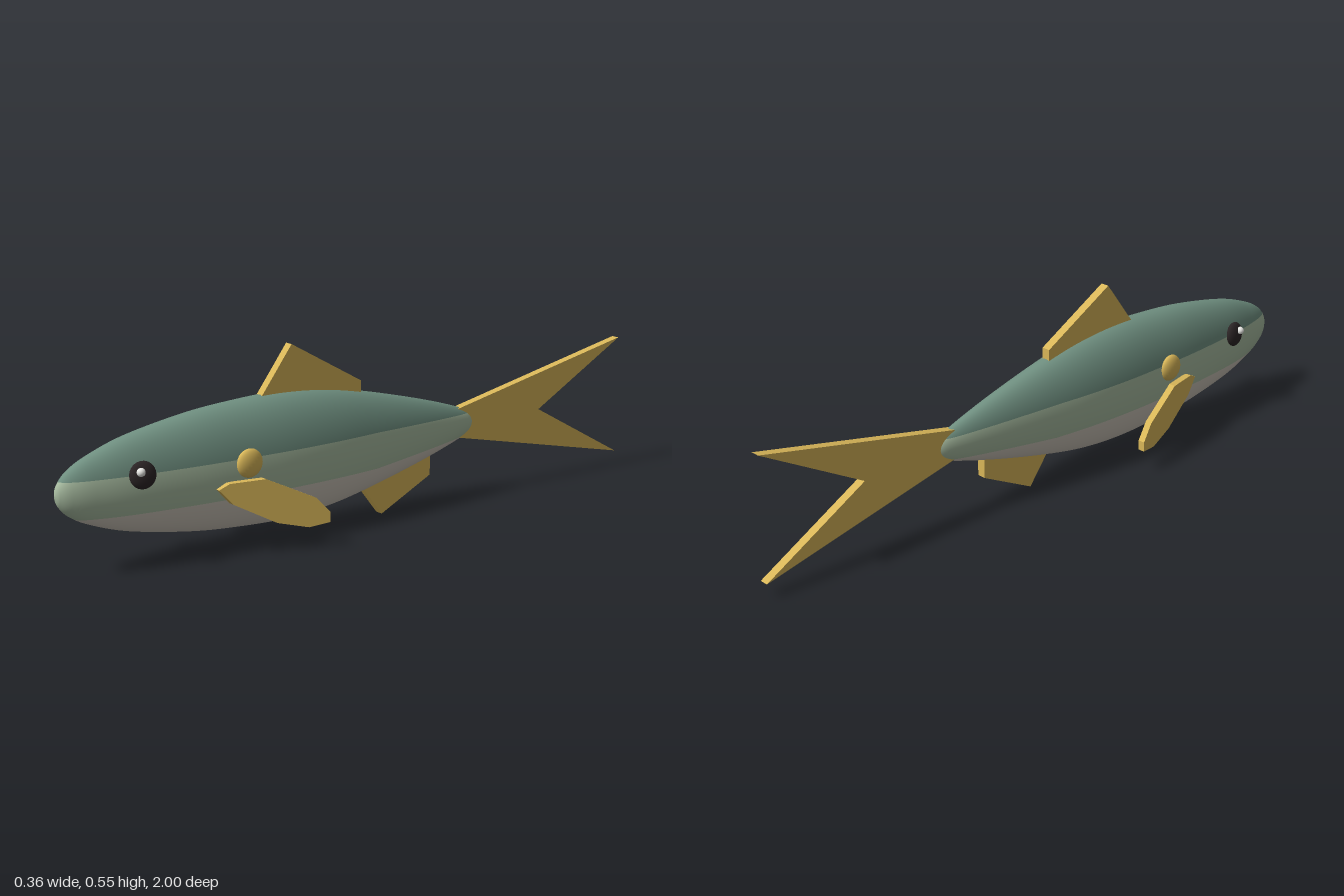
import * as THREE from 'three';

const mat = (name, color) => {
  const m = new THREE.MeshStandardMaterial({ color });
  m.name = name;
  return m;
};

const MID = 0.23;      // height of the body axis
const SQUASH = 0.52;   // body width relative to its height

// Half-height of the body along z, from tail to nose
const profile = new THREE.SplineCurve([
  [-0.41, 0], [-0.398, 0.025], [-0.35, 0.05], [-0.2, 0.096], [0, 0.146], [0.15, 0.174], [0.3, 0.185],
  [0.45, 0.18], [0.6, 0.166], [0.785, 0.132], [0.9, 0.094], [0.96, 0.062], [0.99, 0.03], [1, 0],
].map(([z, h]) => new THREE.Vector2(z, h)));

// Colour boundaries, as offsets from the axis; they draw together toward the tail
const tailward = z => THREE.MathUtils.clamp(-z / 0.35, 0, 1);
const upperLine = z => 0.037 - 0.008 * tailward(z);
const lowerLine = z => -0.072 + 0.03 * tailward(z);
const angleAt = (offset, h) => (h < 1e-5 ? Math.sign(offset) * Math.PI / 2
  : Math.asin(THREE.MathUtils.clamp(offset / h, -1, 1)));

// One lengthwise strip of the body between two angles given by range(z, h)
function bodyStrip(range, sides) {
  const rings = 130, pos = [], nor = [], index = [];
  for (let i = 0; i <= rings; i++) {
    const p = profile.getPoint(i / rings), t = profile.getTangent(i / rings);
    const z = p.x, h = Math.max(p.y, 0);
    const [a, b] = range(z, h);
    for (let j = 0; j <= sides; j++) {
      const ang = a + (b - a) * j / sides;
      const x = Math.cos(ang) * h * SQUASH, y = Math.sin(ang) * h;
      const n = new THREE.Vector3(x / SQUASH ** 2 * t.x, y * t.x, -h * t.y);
      if (h < 1e-4) n.set(0, 0, i ? 1 : -1);
      n.normalize();
      pos.push(x, y + MID, z);
      nor.push(n.x, n.y, n.z);
      if (i < rings && j < sides) {
        const k = i * (sides + 1) + j, m = k + sides + 1;
        index.push(k, k + 1, m, k + 1, m + 1, m);
      }
    }
  }
  const g = new THREE.BufferGeometry();
  g.setAttribute('position', new THREE.Float32BufferAttribute(pos, 3));
  g.setAttribute('normal', new THREE.Float32BufferAttribute(nor, 3));
  g.setIndex(index);
  return g;
}

// Flat plate from a (z, y) outline, with its thickness along x
function plate(outline, thickness) {
  const shape = new THREE.Shape(outline.map(([z, y]) => new THREE.Vector2(-z, y)));
  const g = new THREE.ExtrudeGeometry(shape, { depth: thickness, bevelEnabled: false });
  return g.translate(0, 0, -thickness / 2).rotateY(Math.PI / 2);
}

export function createModel() {
  const model = new THREE.Group();
  model.name = 'fish';
  const back = mat('back green', 0x6f8f80);
  const flank = mat('flank pale green', 0xa6ba9f);
  const belly = mat('belly cream', 0xc9c2b6);
  const gold = mat('fin gold', 0xd8b658);
  const dark = mat('eye black', 0x2b2425);
  const white = mat('eye white', 0xf2f2ee);

  const add = (name, geometry, material, x = 0, y = 0, z = 0) => {
    const mesh = new THREE.Mesh(geometry, material);
    mesh.name = name;
    mesh.position.set(x, y, z);
    model.add(mesh);
    return mesh;
  };

  // Body in three colour bands
  const up = (z, h) => angleAt(upperLine(z), h);
  const low = (z, h) => angleAt(lowerLine(z), h);
  add('back', bodyStrip((z, h) => [up(z, h), Math.PI - up(z, h)], 24), back);
  add('leftFlank', bodyStrip((z, h) => [low(z, h), up(z, h)], 10), flank);
  add('rightFlank', bodyStrip((z, h) => [Math.PI - up(z, h), Math.PI - low(z, h)], 10), flank);
  add('belly', bodyStrip((z, h) => [Math.PI - low(z, h), 2 * Math.PI + low(z, h)], 24), belly);

  // Fins on the centre line
  const thick = 0.027;
  add('dorsalFin', plate([[0.37, 0.4], [0.26, 0.547], [0.02, 0.412], [0.02, 0.33], [0.35, 0.36]], thick), gold);
  add('analFin', plate([[0.01, 0.085], [-0.055, 0], [-0.235, 0.09], [-0.235, 0.17], [0, 0.17]], thick), gold);
  add('tailFin', plate([[-0.34, 0.276], [-1, 0.418], [-0.665, 0.23], [-1, 0.045], [-0.34, 0.188]], thick), gold);

  const paddle = [[0.56, 0.195], [0.53, 0.21], [0.43, 0.213], [0.29, 0.145], [0.25, 0.1],
    [0.25, 0.07], [0.31, 0.062], [0.4, 0.085], [0.52, 0.15]];

  for (const [label, s] of [['left', 1], ['right', -1]]) {
    // Side fin, swept outward toward the rear
    const fin = plate(paddle, 0.022);
    const p = fin.attributes.position;
    for (let i = 0; i < p.count; i++) p.setX(i, p.getX(i) + s * (0.09 + (0.56 - p.getZ(i)) * 0.258));
    fin.computeVertexNormals();
    add(label + 'SideFin', fin, gold);

    // Gill button, eye and glint
    add(label + 'Gill', new THREE.SphereGeometry(0.041, 24, 16), gold, s * 0.092, 0.253, 0.455).scale.x = 0.42;
    const eye = add(label + 'Eye', new THREE.SphereGeometry(0.038, 24, 16), dark, s * 0.07, 0.267, 0.775);
    eye.scale.x = 0.42;
    eye.rotation.set(0, -s * 0.15, s * 0.12);
    add(label + 'EyeGlint', new THREE.SphereGeometry(0.012, 16, 12), white, s * 0.083, 0.279, 0.787);
  }
  return model;
}
